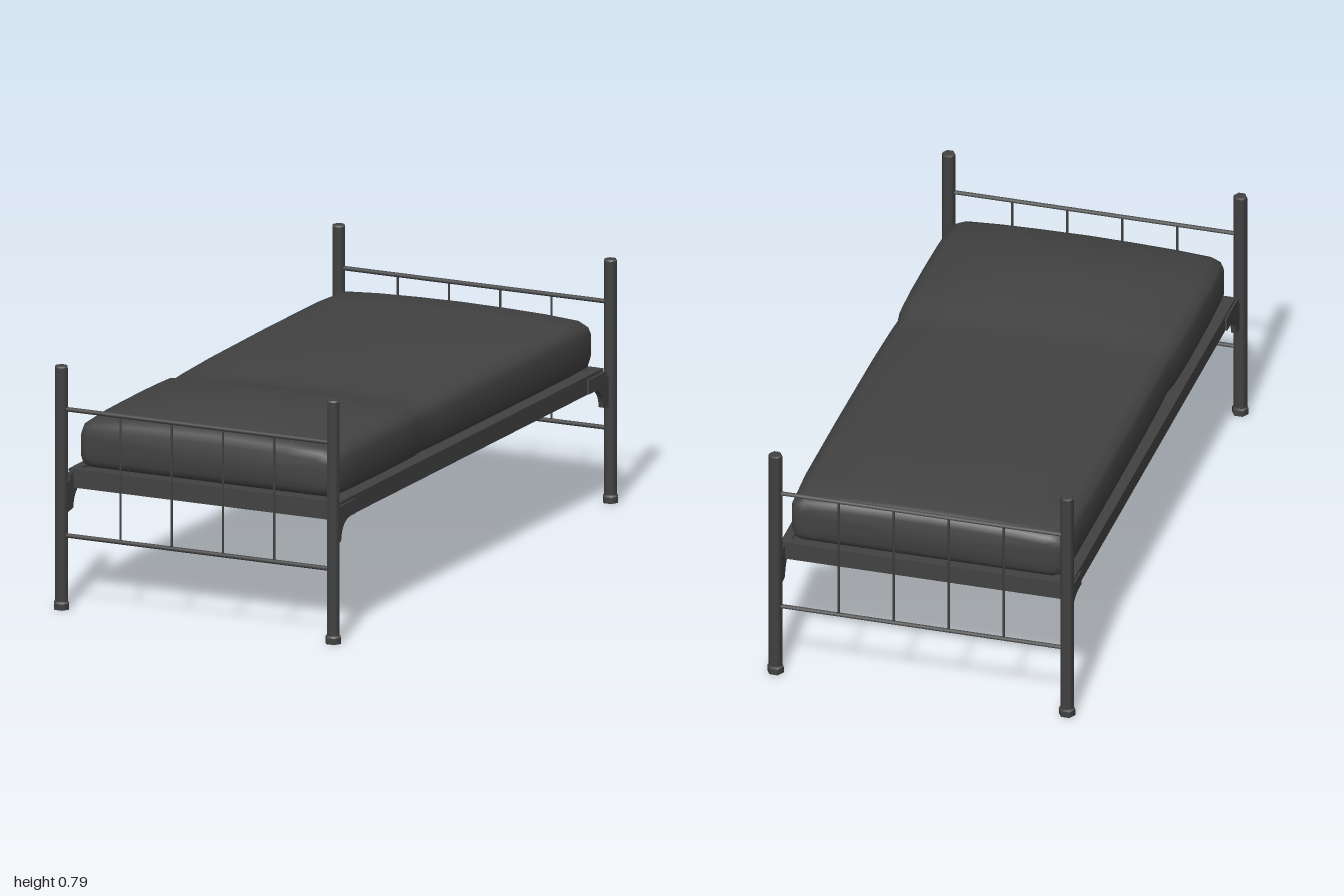
import * as THREE from 'three';
import { toCreasedNormals } from 'three/addons/utils/BufferGeometryUtils.js';

const charcoal = new THREE.MeshStandardMaterial({ color: 0x424242 });

function add(parent, name, geometry, x = 0, y = 0, z = 0) {
  const mesh = new THREE.Mesh(geometry, charcoal);
  mesh.name = name;
  mesh.position.set(x, y, z);
  parent.add(mesh);
  return mesh;
}

// Six-sided, smooth-shaded tube; its corners point along x when upright
function hexTube(r, length, rTop = r) {
  return new THREE.CylinderGeometry(rTop, r, length, 6).rotateY(Math.PI / 2);
}

// One end of the bed: posts with feet and caps, two rails and four bars
function bedEnd(name, z) {
  const end = new THREE.Group();
  end.name = name;
  for (const x of [-0.477, 0.477]) {
    add(end, 'post', hexTube(0.0225, 0.765), x, 0.4025, z);
    add(end, 'postCap', hexTube(0.0225, 0.005, 0.019), x, 0.7875, z);
    add(end, 'foot', hexTube(0.027, 0.02), x, 0.01, z);
    add(end, 'footTaper', hexTube(0.027, 0.006, 0.0225), x, 0.023, z);
  }
  for (const y of [0.24, 0.65])
    add(end, 'crossRail', hexTube(0.0075, 0.93).rotateZ(Math.PI / 2), 0, y, z);
  for (const x of [-0.27, -0.09, 0.09, 0.27])
    add(end, 'upright', hexTube(0.004, 0.41), x, 0.445, z);
  return end;
}

// Sprung base: closed floor with side and end rails and a narrow top lip
function bedFrame() {
  const frame = new THREE.Group();
  frame.name = 'frame';
  add(frame, 'floor', new THREE.BoxGeometry(0.93, 0.05, 1.84), 0, 0.409, 0);
  for (const s of [-1, 1]) {
    add(frame, 'sideRail', new THREE.BoxGeometry(0.015, 0.055, 1.85), s * 0.464, 0.4105, 0);
    add(frame, 'sideLip', new THREE.BoxGeometry(0.03, 0.008, 1.86), s * 0.46, 0.441, 0);
    add(frame, 'endRail', new THREE.BoxGeometry(0.943, 0.055, 0.015), 0, 0.4105, s * 0.917);
    add(frame, 'endLip', new THREE.BoxGeometry(0.95, 0.008, 0.03), 0, 0.441, s * 0.915);
  }
  return frame;
}

// Curved corner bracket, profile in the z-y plane
function bracketGeometry() {
  const shape = new THREE.Shape();
  shape.moveTo(0.82, 0.432);
  shape.lineTo(0.945, 0.432);
  shape.lineTo(0.945, 0.415);
  shape.lineTo(0.962, 0.41);
  shape.lineTo(0.962, 0.312);
  shape.lineTo(0.925, 0.318);
  shape.quadraticCurveTo(0.92, 0.38, 0.86, 0.386);
  shape.lineTo(0.82, 0.386);
  const geo = new THREE.ExtrudeGeometry(shape, { depth: 0.018, bevelEnabled: false, curveSegments: 6 });
  return toCreasedNormals(geo.translate(0, 0, -0.009).rotateY(-Math.PI / 2), 0.6);
}

// Mattress with a raised pillow end: [z, half width, bottom, shoulder, crown]
function mattressGeometry() {
  const stations = [
    [-0.92, 0.42, 0.475, 0.57, 0.58], [-0.912, 0.44, 0.456, 0.59, 0.603],
    [-0.885, 0.45, 0.446, 0.602, 0.616], [-0.75, 0.455, 0.445, 0.608, 0.622],
    [-0.4, 0.455, 0.445, 0.608, 0.622], [0, 0.453, 0.445, 0.605, 0.618],
    [0.2, 0.45, 0.445, 0.6, 0.613], [0.29, 0.447, 0.445, 0.596, 0.606],
    [0.34, 0.454, 0.445, 0.607, 0.626], [0.45, 0.457, 0.445, 0.607, 0.636],
    [0.6, 0.457, 0.445, 0.607, 0.654], [0.75, 0.455, 0.445, 0.606, 0.638],
    [0.885, 0.45, 0.446, 0.6, 0.617], [0.912, 0.44, 0.456, 0.59, 0.603],
    [0.92, 0.42, 0.475, 0.57, 0.58],
  ];
  const pos = [], index = [];
  let n = 0;
  for (const [z, w, lo, shoulder, crown] of stations) {
    const h = shoulder - lo;
    const half = [
      [0.4, lo], [0.93, lo], [0.98, lo + h * 0.06], [1, lo + h * 0.22], [1, lo + h * 0.75],
      [0.98, lo + h * 0.9], [0.91, shoulder], [0.65, shoulder + (crown - shoulder) * 0.55], [0.33, crown - 0.002],
    ];
    const loop = [...half, [0, crown], ...half.map(([x, y]) => [-x, y]).reverse()];
    n = loop.length;
    for (const [x, y] of loop) pos.push(x * w, y, z);
  }
  const last = (stations.length - 1) * n;
  for (let i = 0; i < last; i += n)
    for (let j = 0; j < n; j++) {
      const k = (j + 1) % n;
      index.push(i + j, i + k, i + n + k, i + j, i + n + k, i + n + j);
    }
  // End caps
  const c = pos.length / 3;
  pos.push(0, 0.525, -0.922, 0, 0.525, 0.922);
  for (let j = 0; j < n; j++) {
    const k = (j + 1) % n;
    index.push(c, k, j, c + 1, last + j, last + k);
  }
  const geo = new THREE.BufferGeometry();
  geo.setAttribute('position', new THREE.Float32BufferAttribute(pos, 3));
  geo.setIndex(index);
  return toCreasedNormals(geo, 1);
}

export function createModel() {
  const bed = new THREE.Group();
  bed.name = 'bed';
  bed.add(bedEnd('headEnd', 0.9765), bedEnd('footEnd', -0.9765), bedFrame());
  const bracket = bracketGeometry();
  for (const x of [-0.47, 0.47])
    for (const turn of [0, Math.PI])
      add(bed, 'cornerBracket', bracket, x, 0, 0).rotation.y = turn;
  add(bed, 'mattress', mattressGeometry());
  return bed;
}
